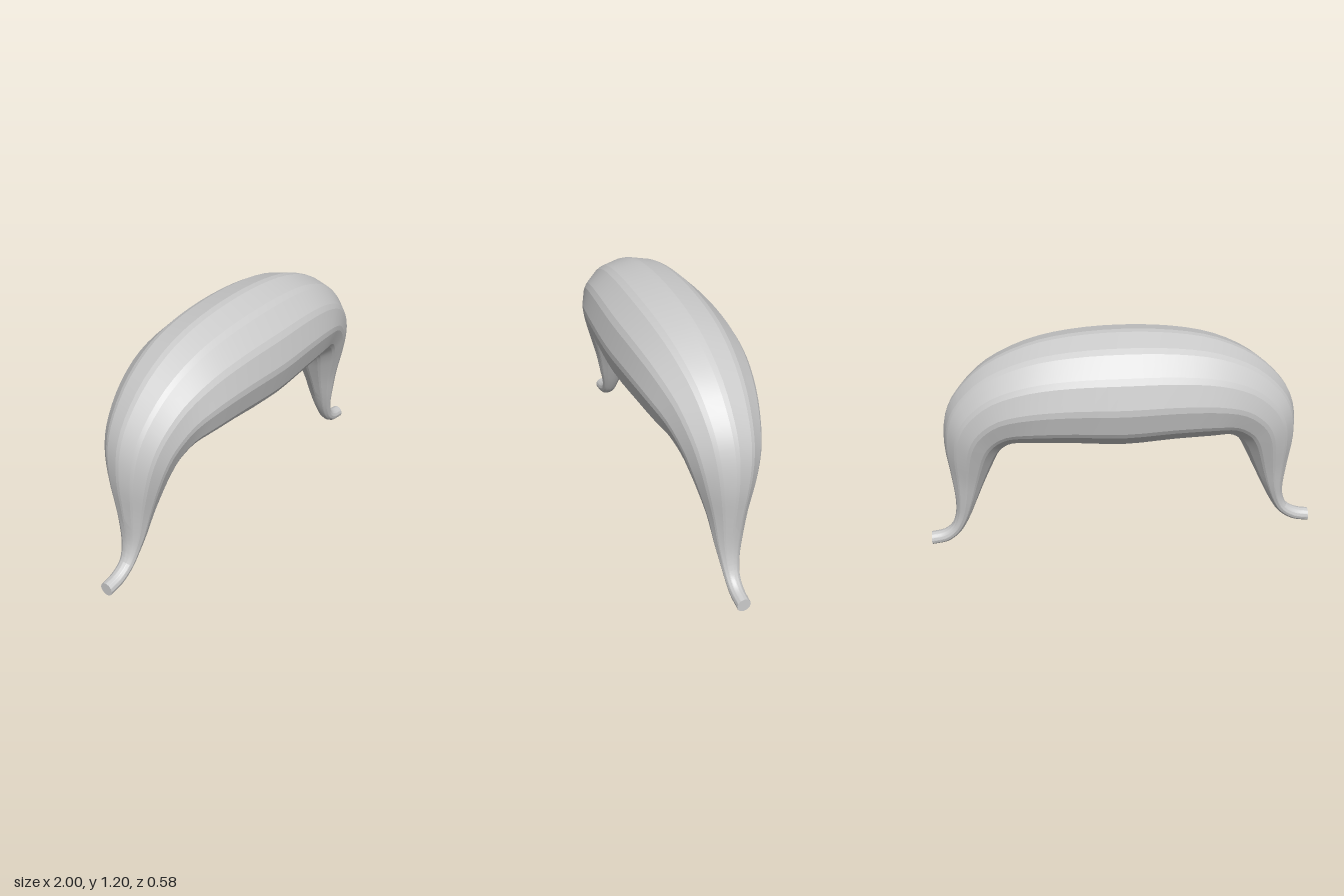
import * as THREE from 'three';
import { toCreasedNormals } from 'three/addons/utils/BufferGeometryUtils.js';

// Half profile: [upper x, upper y, lower x, lower y, half depth], middle to tip
const HALF = [
  [0, 1.205, 0, 0.622, 0.29],
  [0.25, 1.19, 0.24, 0.638, 0.28],
  [0.46, 1.145, 0.43, 0.643, 0.257],
  [0.66, 1.05, 0.53, 0.643, 0.222],
  [0.8, 0.915, 0.585, 0.612, 0.19],
  [0.868, 0.78, 0.618, 0.565, 0.165],
  [0.885, 0.62, 0.65, 0.5, 0.134],
  [0.87, 0.45, 0.7, 0.39, 0.096],
  [0.858, 0.3, 0.752, 0.265, 0.07],
  [0.863, 0.2, 0.797, 0.16, 0.05],
  [0.888, 0.125, 0.848, 0.075, 0.038],
  [0.935, 0.085, 0.915, 0.02, 0.035],
  [1, 0.072, 1, 0.003, 0.034],
];
const SPANS = 72;

// Twelve-sided section with a narrow bevel on each corner
const ANGLES = [];
for (let k = 0; k < 12; k++) {
  const a = (k * Math.PI) / 6;
  ANGLES.push(a - 0.06, a + 0.06);
}

// The right tip sits slightly higher than the left one
function mirrored([ux, uy, lx, ly, d]) {
  const lift = (y) => y + 0.04 * THREE.MathUtils.smoothstep(0.45 - y, 0, 0.4);
  const side = (x) => -x + 0.01 * (x > 0.5 && x < 0.9 ? 1 : 0);
  return [side(ux), lift(uy), side(lx), lift(ly), d];
}

function sweptBody() {
  const rows = [...HALF.slice(1).reverse().map(mirrored), ...HALF];
  const upper = new THREE.CatmullRomCurve3(
    rows.map((r) => new THREE.Vector3(r[0], r[1], r[4])), false, 'catmullrom', 0.5);
  const lower = new THREE.CatmullRomCurve3(
    rows.map((r) => new THREE.Vector3(r[2], r[3], r[4])), false, 'catmullrom', 0.5);

  const pos = [], index = [], n = ANGLES.length;
  for (let i = 0; i <= SPANS; i++) {
    const u = upper.getPoint(i / SPANS), l = lower.getPoint(i / SPANS);
    for (const a of ANGLES) {
      const f = (1 + Math.cos(a)) / 2;
      pos.push(l.x + (u.x - l.x) * f, l.y + (u.y - l.y) * f, u.z * Math.sin(a));
    }
  }
  for (let i = 0; i < SPANS; i++) {
    for (let j = 0; j < n; j++) {
      const k = (j + 1) % n;
      const a = i * n + j, b = a + n, c = i * n + k, d = c + n;
      index.push(a, c, b, c, d, b);
    }
  }
  // Flat caps on both tips
  for (const [ring, flip] of [[0, true], [SPANS, false]]) {
    const u = upper.getPoint(ring / SPANS), l = lower.getPoint(ring / SPANS);
    const centre = pos.length / 3;
    pos.push((u.x + l.x) / 2, (u.y + l.y) / 2, 0);
    for (let j = 0; j < n; j++) {
      const a = ring * n + j, b = ring * n + ((j + 1) % n);
      index.push(centre, flip ? b : a, flip ? a : b);
    }
  }
  const geo = new THREE.BufferGeometry();
  geo.setAttribute('position', new THREE.Float32BufferAttribute(pos, 3));
  geo.setIndex(index);
  return toCreasedNormals(geo, 0.21);
}

export function createModel() {
  const model = new THREE.Group();
  model.name = 'droopingMoustache';
  const body = new THREE.Mesh(sweptBody(), new THREE.MeshStandardMaterial({ color: 0xcccccc }));
  body.name = 'moustacheBody';
  model.add(body);
  return model;
}
